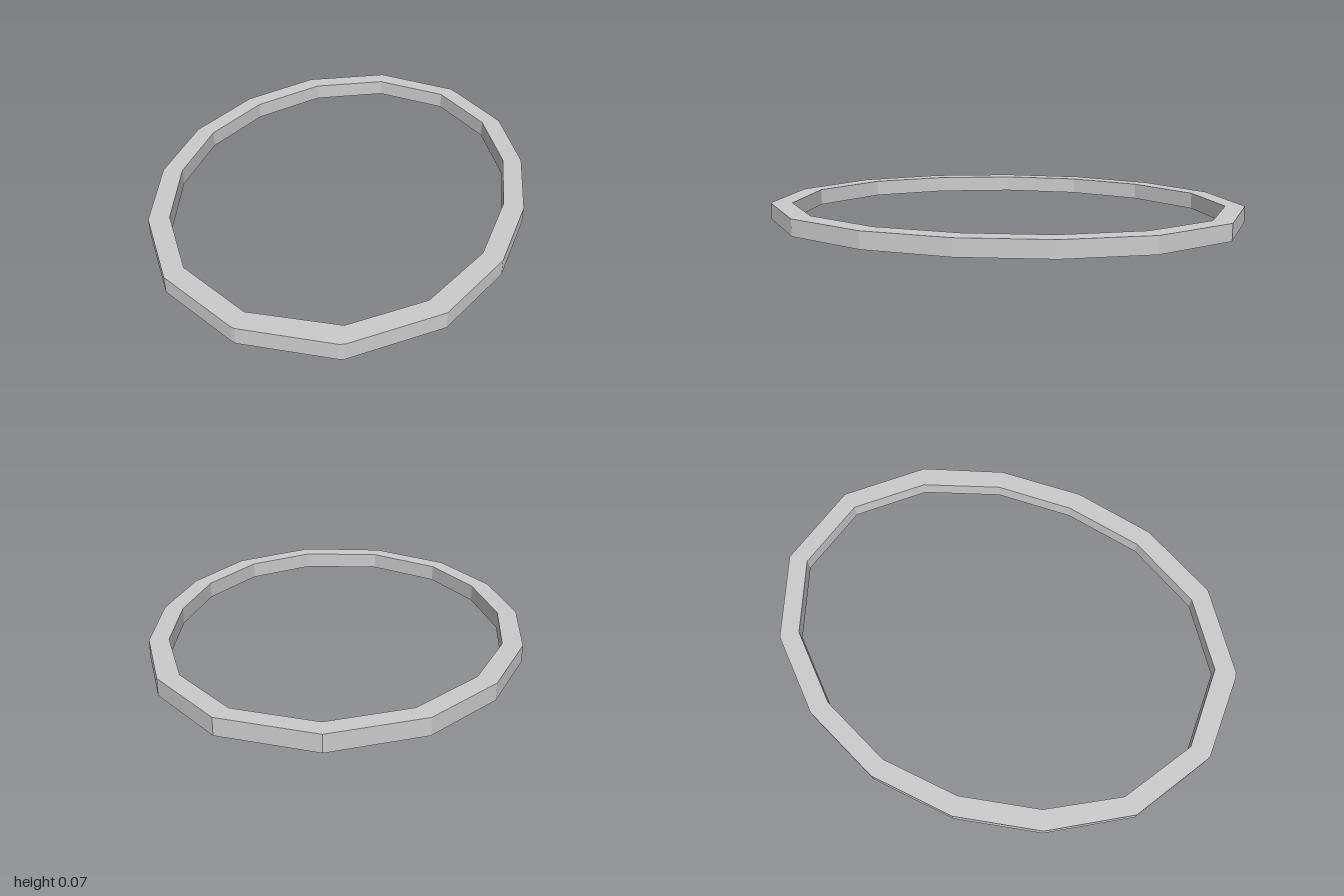
import * as THREE from 'three';

// Height of the band
const HEIGHT = 0.074;

// Outer corners (x, z), with two clipped corners at the front left
const OUTER = [
  [-0.27, -1.0], [0.125, -0.92], [0.44, -0.7], [0.69, -0.4], [0.857, -0.055],
  [0.915, 0.335], [0.782, 0.722], [0.766, 0.74], [0.458, 0.963], [0.44, 0.968],
  [0.045, 1.0], [-0.325, 0.848], [-0.618, 0.592], [-0.825, 0.262],
  [-0.915, -0.122], [-0.87, -0.51], [-0.648, -0.845],
];

// Inner corners (x, z)
const INNER = [
  [-0.265, -0.913], [0.08, -0.843], [0.383, -0.637], [0.61, -0.36],
  [0.773, -0.03], [0.822, 0.335], [0.71, 0.66], [0.41, 0.885], [0.045, 0.91],
  [-0.28, 0.77], [-0.555, 0.53], [-0.747, 0.225], [-0.828, -0.122],
  [-0.785, -0.485], [-0.59, -0.78],
];

// Plan corners become shape points; z flips when the shape is laid flat
const toPoints = (corners) => corners.map(([x, z]) => new THREE.Vector2(x, -z));

export function createModel() {
  const group = new THREE.Group();
  group.name = 'ovalRing';

  // The hole runs the opposite way round so its walls face inwards
  const outline = new THREE.Shape(toPoints(OUTER));
  outline.holes.push(new THREE.Path(toPoints(INNER).reverse()));

  // Faceted oval band, extruded upwards from the ground
  const geometry = new THREE.ExtrudeGeometry(outline, { depth: HEIGHT, bevelEnabled: false });
  geometry.rotateX(-Math.PI / 2);
  const material = new THREE.MeshStandardMaterial({ color: 0xcccccc, flatShading: true });
  const band = new THREE.Mesh(geometry, material);
  band.name = 'band';
  group.add(band);

  return group;
}
